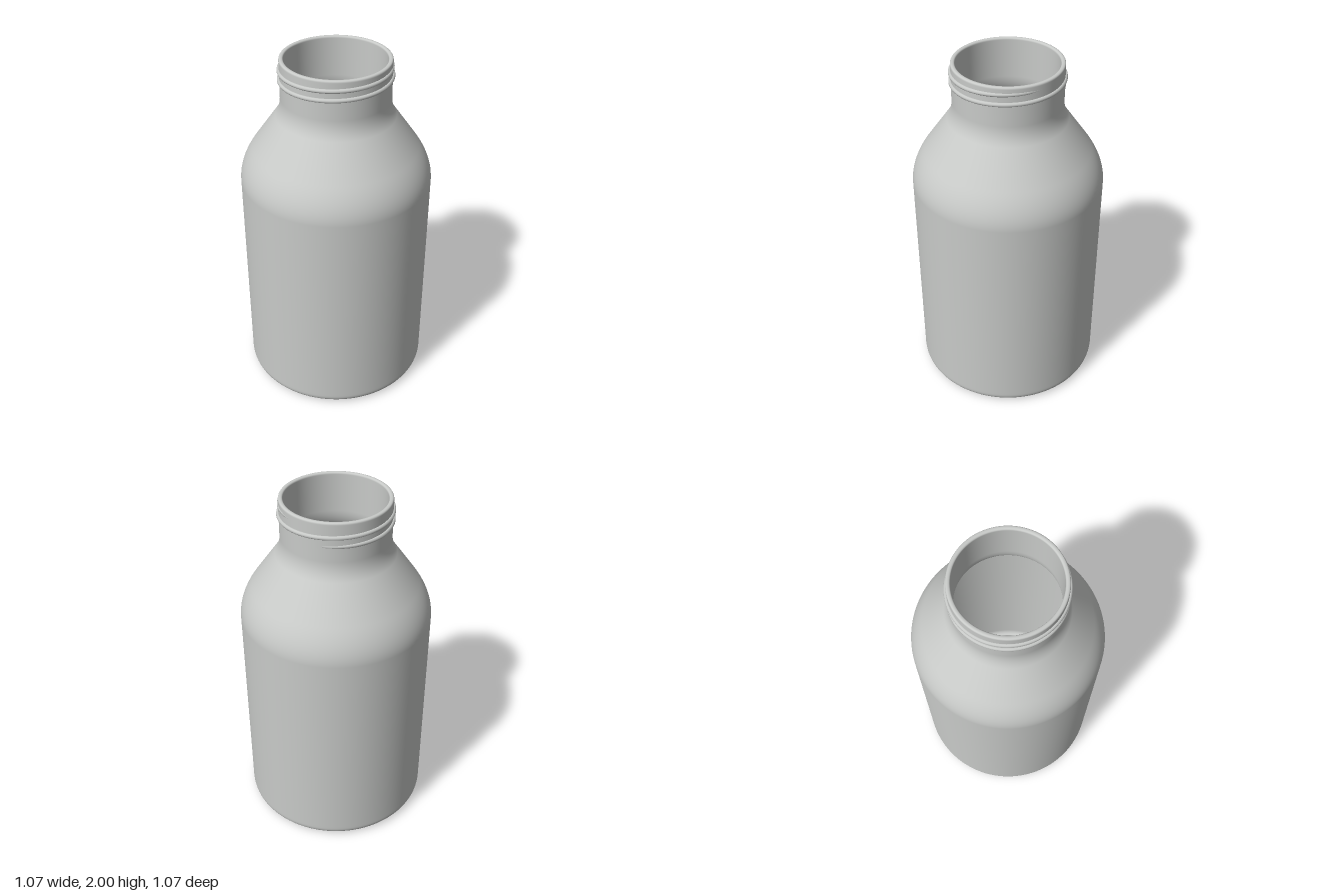
import * as THREE from 'three';

const NECK = 0.3;

// Closed bottle profile: underside, outer wall, rim, inner wall, inner floor
function bottleProfile() {
  const p = new THREE.Path();
  p.moveTo(0, 0);
  p.lineTo(0.46, 0);
  p.lineTo(0.47, 0);
  p.quadraticCurveTo(0.535, 0, 0.535, 0.055);   // rounded base edge
  p.lineTo(0.535, 0.07);
  p.lineTo(0.535, 1.29);
  p.quadraticCurveTo(0.535, 1.385, 0.46, 1.49); // shoulder
  p.lineTo(0.33, 1.675);
  p.quadraticCurveTo(NECK, 1.718, NECK, 1.78);  // into the neck
  p.lineTo(NECK, 1.98);
  p.lineTo(NECK, 1.988);
  p.quadraticCurveTo(NECK, 2, 0.288, 2);        // rounded rim
  p.quadraticCurveTo(0.275, 2, 0.275, 1.988);
  p.lineTo(0.275, 1.98);
  p.lineTo(0.275, 1.77);
  p.quadraticCurveTo(0.275, 1.71, 0.308, 1.663);
  p.lineTo(0.44, 1.476);
  p.quadraticCurveTo(0.51, 1.378, 0.51, 1.29);
  p.lineTo(0.51, 0.08);
  p.quadraticCurveTo(0.51, 0.025, 0.455, 0.025);
  p.lineTo(0.44, 0.025);
  p.lineTo(0, 0.025);
  return p.getPoints(12);
}

// Rising screw thread whose ends sink into the neck wall
class ThreadCurve extends THREE.Curve {
  getPoint(t, target = new THREE.Vector3()) {
    const start = -1.4 * Math.PI, end = 2.45 * Math.PI;
    const a = THREE.MathUtils.lerp(start, end, t);
    const fade = Math.min(1, (a - start) / 1.2, (end - a) / 1.4);
    const r = NECK - 0.0125 * (1 - fade);
    return target.set(r * Math.sin(a), 1.9 + 0.0525 * a / (2 * Math.PI), r * Math.cos(a));
  }
}

export function createModel() {
  const grey = new THREE.MeshStandardMaterial({ color: 0xc8cac8 });
  grey.name = 'light grey';

  const model = new THREE.Group();
  model.name = 'bottle';

  const body = new THREE.Mesh(new THREE.LatheGeometry(bottleProfile(), 96), grey);
  body.name = 'bottleBody';

  const thread = new THREE.Mesh(new THREE.TubeGeometry(new ThreadCurve(), 240, 0.012, 10), grey);
  thread.name = 'neckThread';

  model.add(body, thread);
  return model;
}
